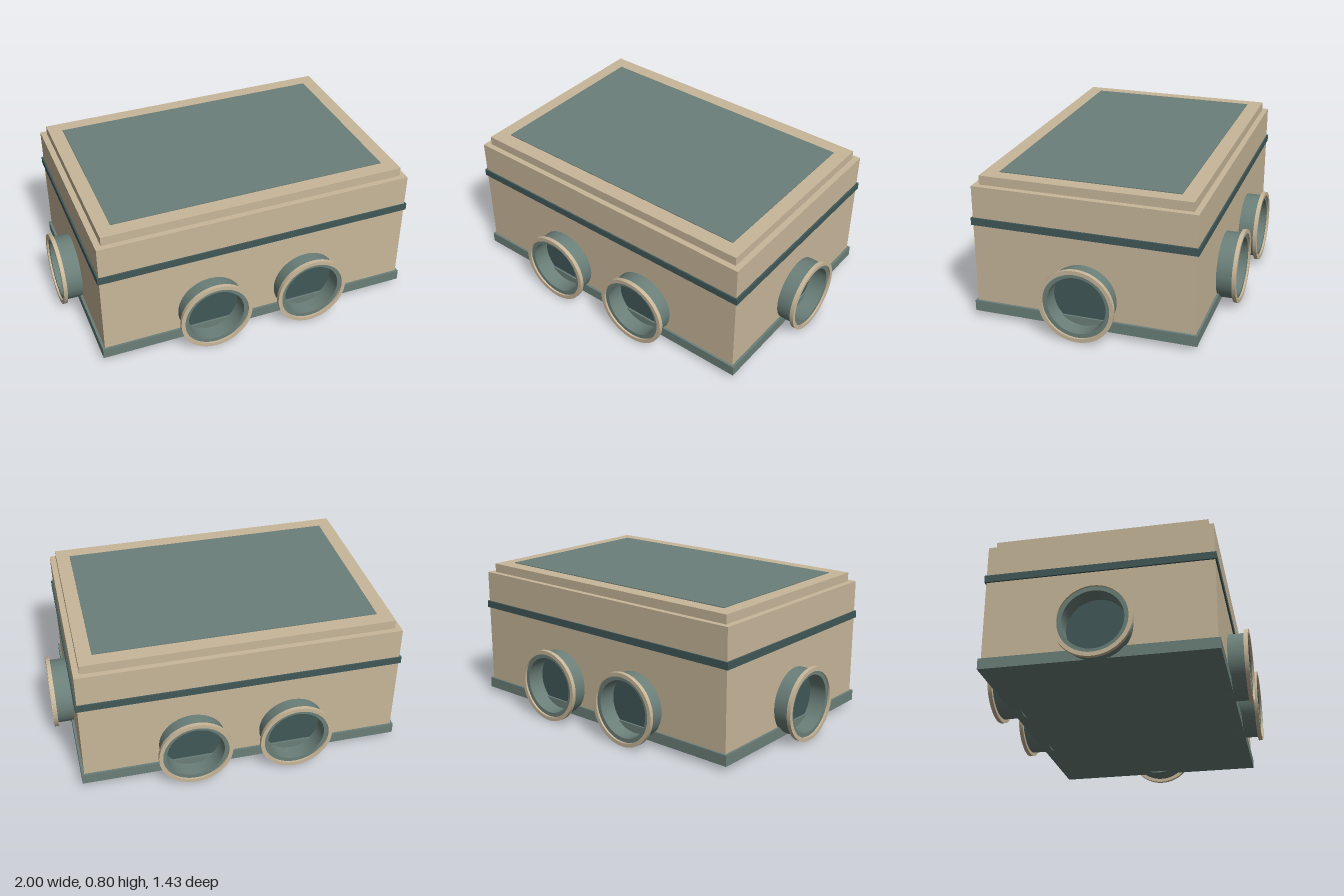
import * as THREE from 'three';

const material = (name, color) => {
  const m = new THREE.MeshStandardMaterial({ color });
  m.name = name;
  return m;
};

export function createModel() {
  const tan = material('tan', 0xc8b79a);
  const teal = material('grey teal', 0x6b7f79);
  const dark = material('dark teal', 0x415858);
  const model = new THREE.Group();
  model.name = 'junctionBox';

  // Box given by half width, bottom, top and half depth
  const box = (name, hx, y0, y1, hz, mat) => {
    const mesh = new THREE.Mesh(new THREE.BoxGeometry(hx * 2, y1 - y0, hz * 2), mat);
    mesh.name = name;
    mesh.position.y = (y0 + y1) / 2;
    model.add(mesh);
  };
  box('basePlate', 0.9, 0.03, 0.09, 0.617, teal);
  box('body', 0.886, 0.085, 0.75, 0.605, tan);
  box('sealBand', 0.896, 0.535, 0.575, 0.613, dark);
  box('lidStep', 0.853, 0.75, 0.8, 0.574, tan);
  box('lidPanel', 0.775, 0.798, 0.804, 0.491, teal);

  // Hollow ring along +z, from z0 to z1
  const ring = (inner, outer, z0, z1) => {
    const shape = new THREE.Shape().absarc(0, 0, outer, 0, Math.PI * 2);
    shape.holes.push(new THREE.Path().absarc(0, 0, inner, 0, Math.PI * 2, true));
    return new THREE.ExtrudeGeometry(shape, { depth: z1 - z0, bevelEnabled: false, curveSegments: 48 })
      .translate(0, 0, z0);
  };

  // Cable port: z = 0 is the wall surface
  const parts = [
    ['portTube', ring(0.16, 0.184, -0.04, 0.103), teal],
    ['portFlange', ring(0.183, 0.205, 0.092, 0.114), tan],
    ['portOpening', new THREE.CircleGeometry(0.161, 48).translate(0, 0, 0.004), dark],
  ];
  const port = (name, x, z, angle) => {
    const group = new THREE.Group();
    group.name = name;
    for (const [partName, geometry, mat] of parts) {
      const mesh = new THREE.Mesh(geometry, mat);
      mesh.name = partName;
      group.add(mesh);
    }
    group.position.set(x, 0.205, z);
    group.rotation.y = angle;
    model.add(group);
  };
  for (const s of [-1, 1]) {
    const side = s > 0 ? 'Left' : 'Right';
    port('frontPort' + side, s * 0.283, 0.603, 0);
    port('backPort' + side, s * 0.283, -0.603, Math.PI);
    port('sidePort' + side, s * 0.886, 0, s * Math.PI / 2);
  }
  return model;
}
